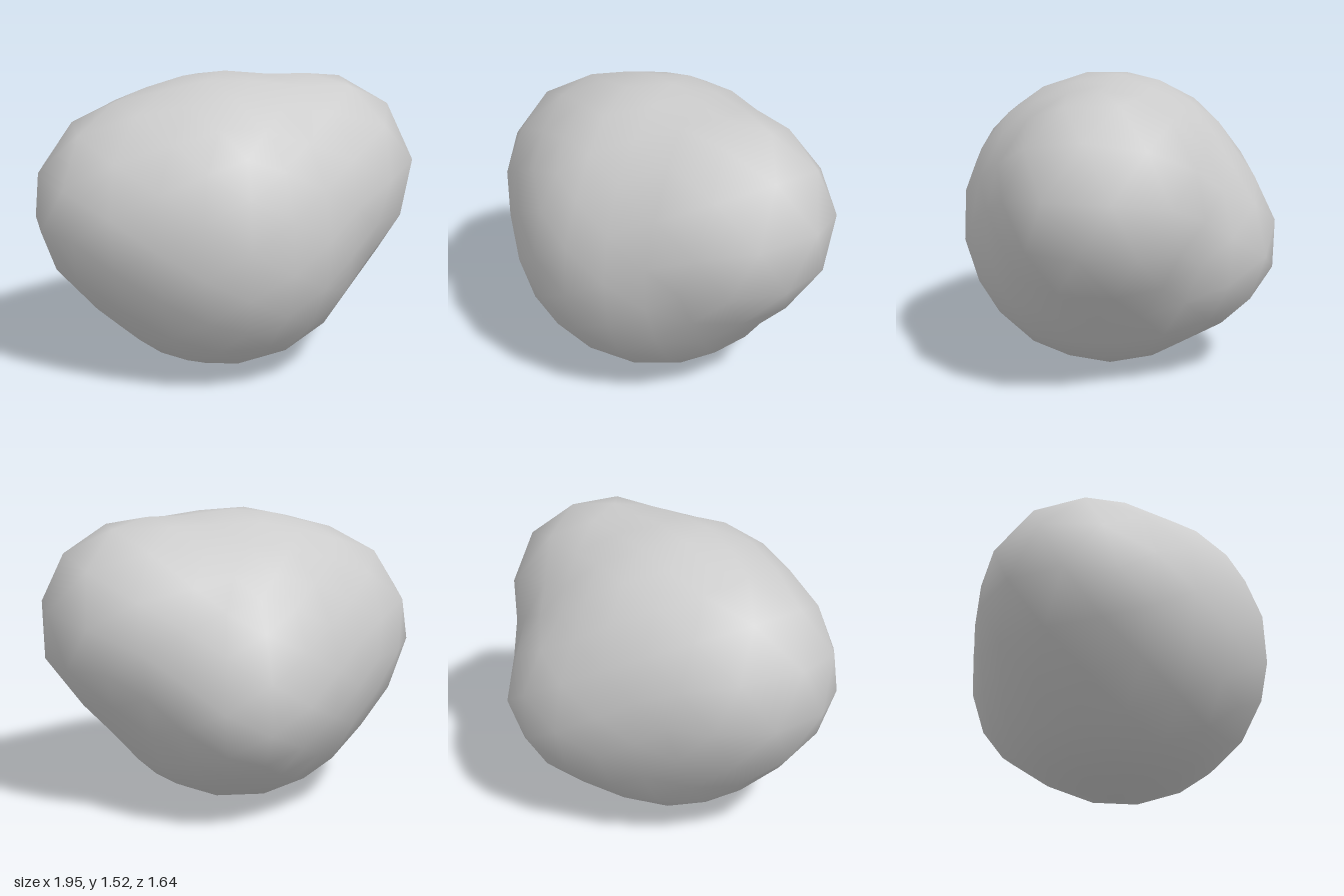
import * as THREE from 'three';
import { mergeVertices } from 'three/addons/utils/BufferGeometryUtils.js';

// Rounded lobes that merge into one lump: centre and radius
const lobes = [
  { c: new THREE.Vector3(-0.035, 0.765, 0.06), r: 0.765 }, // main body
  { c: new THREE.Vector3(0.48, 0.98, -0.02), r: 0.52 },    // left
  { c: new THREE.Vector3(-0.485, 0.88, 0.12), r: 0.517 },  // right
  { c: new THREE.Vector3(0.05, 0.68, -0.42), r: 0.41 },    // back
];
const BLEND = 0.16;
const CORE = new THREE.Vector3(0, 0.8, 0);

// Distance to the lobes, with the valleys between them filled softly
function distance(p) {
  return lobes.map(({ c, r }) => p.distanceTo(c) - r).reduce((a, b) => {
    const h = Math.max(BLEND - Math.abs(a - b), 0) / BLEND;
    return Math.min(a, b) - h * h * BLEND / 4;
  });
}

// Walk inward along a ray towards the core until the surface is met
function surfacePoint(dir) {
  const p = new THREE.Vector3();
  let t = 1.6;
  for (let i = 0; i < 60; i++) {
    p.copy(CORE).addScaledVector(dir, t);
    t -= distance(p);
  }
  return p;
}

function boulderGeometry() {
  let geo = new THREE.IcosahedronGeometry(1, 3);
  geo.deleteAttribute('normal');
  geo.deleteAttribute('uv');
  geo = mergeVertices(geo);
  const pos = geo.attributes.position;
  const dir = new THREE.Vector3();
  for (let i = 0; i < pos.count; i++) {
    const p = surfacePoint(dir.fromBufferAttribute(pos, i).normalize());
    pos.setXYZ(i, p.x, p.y, p.z);
  }
  geo.computeVertexNormals();
  return geo;
}

export function createModel() {
  const group = new THREE.Group();
  group.name = 'boulder';
  const stone = new THREE.MeshStandardMaterial({ color: 0xcccccc });
  stone.name = 'paleGreyStone';
  const mesh = new THREE.Mesh(boulderGeometry(), stone);
  mesh.name = 'lumpyStone';
  group.add(mesh);
  return group;
}
